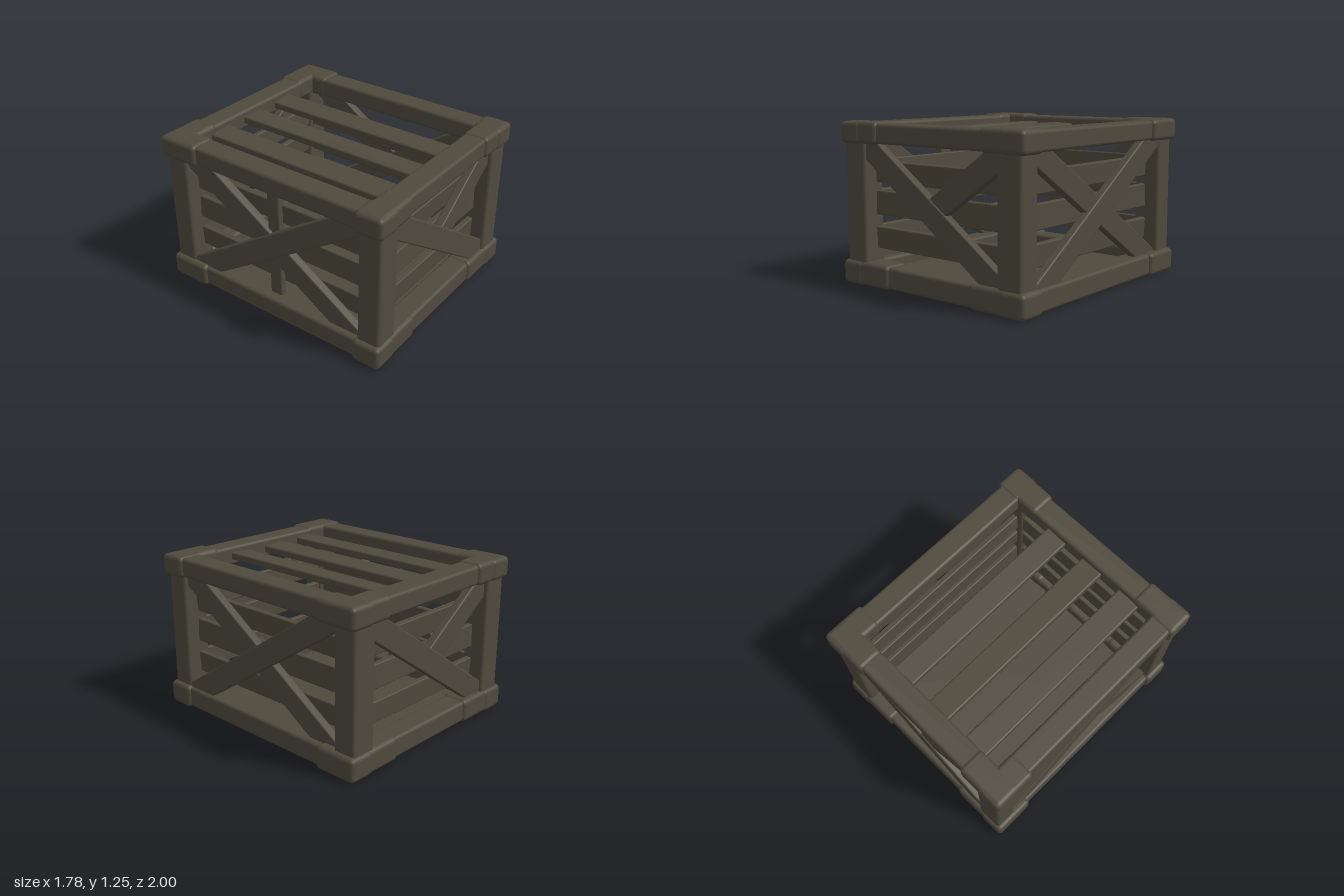
import * as THREE from 'three';
import { RoundedBoxGeometry } from 'three/addons/geometries/RoundedBoxGeometry.js';

const wood = new THREE.MeshStandardMaterial({ color: 0x4f4a3d });
wood.name = 'darkWood';

// Worn plank given by its minimum and maximum corners
function plank(parent, name, min, max, radius = 0.015) {
  const size = max.map((v, i) => v - min[i]);
  const r = Math.min(radius, Math.min(...size) * 0.45);
  const mesh = new THREE.Mesh(new RoundedBoxGeometry(...size, 2, r), wood);
  mesh.position.set(...max.map((v, i) => (v + min[i]) / 2));
  mesh.name = name;
  parent.add(mesh);
  return mesh;
}

// Diagonal plank between two points of a wall, front surface at depth z
function brace(parent, name, [x1, y1], [x2, y2], z, thick = 0.07, width = 0.18) {
  const len = Math.hypot(x2 - x1, y2 - y1);
  const mesh = plank(parent, name, [-len / 2, -width / 2, -thick], [len / 2, width / 2, 0], 0.012);
  mesh.position.set((x1 + x2) / 2, (y1 + y2) / 2, z - thick / 2);
  mesh.rotation.z = Math.atan2(y2 - y1, x2 - x1);
}

// Three horizontal slats on the inside of a wall
function slats(parent, half, z) {
  [[0.28, 0.45], [0.54, 0.725], [0.79, 0.955]].forEach(([lo, hi], i) => {
    const slat = plank(parent, 'wallSlat', [-half, lo, z - 0.05], [half, hi, z], 0.01);
    slat.rotation.x = [0.05, -0.04, 0.06][i];
  });
}

function wall(parent, name, angle) {
  const g = new THREE.Group();
  g.name = name;
  g.rotation.y = angle;
  parent.add(g);
  return g;
}

export function createModel() {
  const crate = new THREE.Group();
  crate.name = 'crate';

  // Floor panel
  plank(crate, 'floor', [-0.8, 0.02, -0.92], [0.8, 0.09, 0.92]);

  // Corner posts
  for (const sx of [-1, 1]) for (const sz of [-1, 1]) {
    const post = plank(crate, 'cornerPost', [-0.105, 0.05, -0.093], [0.105, 1.2, 0.093], 0.025);
    post.position.x = sx * 0.747;
    post.position.z = sz * 0.883;
  }

  // Bottom and top frames with thicker corner ends
  for (const [lo, hi] of [[0.01, 0.175], [1.09, 1.24]]) {
    const top = lo > 1;
    for (const s of [-1, 1]) {
      const [z0, z1] = s > 0 ? [0.79, 0.975] : [-0.975, -0.79];
      const [x0, x1] = s > 0 ? [0.68, 0.865] : [-0.865, -0.68];
      plank(crate, 'crossRail', [-0.86, lo, z0], [0.86, hi, z1], 0.025);
      plank(crate, 'sideRail', [x0, lo, -0.97], [x1, hi, 0.97], 0.025);
      for (const t of [-1, 1]) {
        const a = top ? 0.5 : 0.4;
        const end = plank(crate, 'crossRailEnd', [a, lo - 0.006, 0.785], [0.885, hi + 0.012, 0.993], 0.035);
        end.position.x *= t;
        end.position.z *= s;
        const b = t > 0 ? 0.77 : 0.65;
        const cap = plank(crate, 'sideRailEnd', [0.675, lo - 0.008, b], [0.89, hi + 0.01, 1.0], 0.035);
        cap.position.x *= s;
        cap.position.z *= t;
      }
    }
  }

  // Lid slats
  [[-0.56, -0.36], [-0.19, 0.01], [0.18, 0.37]].forEach(([a, b], i) => {
    const slat = plank(crate, 'lidSlat', [a, 1.13, -0.85], [b, 1.19, 0.85]);
    slat.rotation.z = [0.02, -0.05, 0.06][i];
  });

  // Front and back walls: one full brace and one half brace
  for (const [name, angle] of [['frontWall', 0], ['backWall', Math.PI]]) {
    const g = wall(crate, name, angle);
    brace(g, 'longBrace', [-0.7, 1.11], [0.7, 0.13], 0.955);
    brace(g, 'shortBrace', [0.7, 1.11], [0.03, 0.64], 0.945);
    slats(g, 0.7, 0.86);
  }

  // Side walls: crossed braces
  for (const [name, angle] of [['leftWall', Math.PI / 2], ['rightWall', -Math.PI / 2]]) {
    const g = wall(crate, name, angle);
    brace(g, 'longBrace', [-0.83, 0.08], [0.83, 1.16], 0.84);
    brace(g, 'crossBrace', [-0.83, 1.14], [0.83, 0.08], 0.815);
    slats(g, 0.84, 0.735);
    // Middle upright on one side only
    if (angle < 0) plank(g, 'middlePost', [-0.055, 0.1, 0.73], [0.055, 1.15, 0.785]);
  }

  return crate;
}
